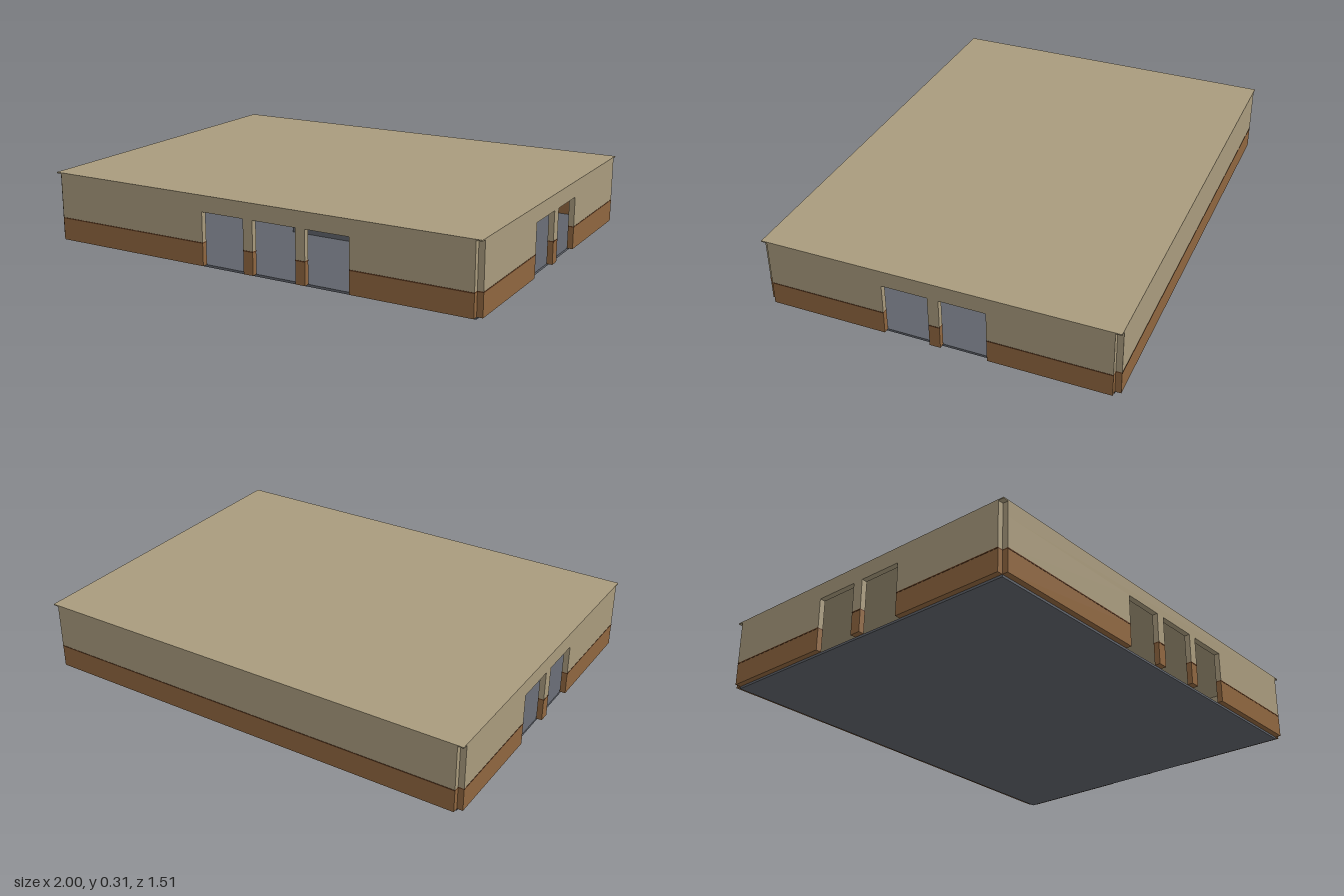
import * as THREE from 'three';

const paint = (name, color) => {
  const m = new THREE.MeshStandardMaterial({ color });
  m.name = name;
  return m;
};

export function createModel() {
  const tan = paint('tan plaster', 0xa99b7d);
  const brown = paint('brown wainscot', 0x8f663f);
  const darkBrown = paint('dark brown trim', 0x5e3a20);
  const grey = paint('slate grey', 0x5f636b);

  const W = 2, D = 1.51, T = 0.025;            // outer size and wall thickness
  const FLOOR = 0.01, BAND = 0.106, TRIM = 0.111, DOOR = 0.24, EAVES = 0.305, TOP = 0.31;

  const model = new THREE.Group();
  model.name = 'building';

  // box given by its limits
  const box = (parent, name, mat, x0, x1, y0, y1, z0, z1) => {
    const mesh = new THREE.Mesh(new THREE.BoxGeometry(x1 - x0, y1 - y0, z1 - z0), mat);
    mesh.position.set((x0 + x1) / 2, (y0 + y1) / 2, (z0 + z1) / 2);
    mesh.name = name;
    parent.add(mesh);
  };

  // wall along local x, outer face towards local +z, with door openings [from, to]
  const wall = (name, length, openings, distance, turn) => {
    const g = new THREE.Group();
    g.name = name;
    const ends = [-length / 2, ...openings.flat(), length / 2];
    for (let i = 0; i < ends.length; i += 2) {
      const [a, b] = [ends[i], ends[i + 1]];
      box(g, 'wainscot', brown, a, b, FLOOR, BAND, -T, 0);
      box(g, 'trim', darkBrown, a, b, BAND, TRIM, -T - 0.001, 0.001);
      box(g, 'upperWall', tan, a, b, TRIM, DOOR, -T, 0);
    }
    box(g, 'header', tan, -length / 2, length / 2, DOOR, EAVES, -T, 0);
    g.rotation.y = turn;
    g.position.set(Math.sin(turn) * distance, 0, Math.cos(turn) * distance);
    model.add(g);
  };

  // walls stop short of each other, leaving notched corners
  const long = W - 2 * T, short = D - 2 * T;
  const sideDoors = [[-0.222, -0.025], [0.022, 0.22]];
  const mirrored = sideDoors.map(([a, b]) => [-b, -a]).reverse();
  wall('frontWall', long, [[-0.225, -0.025], [0.02, 0.22], [0.263, 0.46]], D / 2, 0);
  wall('backWall', long, [], D / 2, Math.PI);
  wall('leftWall', short, sideDoors, W / 2, Math.PI / 2);
  wall('rightWall', short, mirrored, W / 2, -Math.PI / 2);

  // floor slab and flat roof
  box(model, 'floor', grey, -long / 2, long / 2, 0, FLOOR, -short / 2, short / 2);
  box(model, 'roof', tan, -W / 2, W / 2, EAVES, TOP, -D / 2, D / 2);

  // counter inside, and two panels on the back wall's inner face
  box(model, 'counter', grey, -0.17, 0.4, FLOOR, 0.1, 0.088, 0.16);
  for (const x of [0.05, 0.19])
    box(model, 'wallPanel', grey, x - 0.05, x + 0.05, 0.13, 0.183, -short / 2, -short / 2 + 0.008);

  return model;
}
